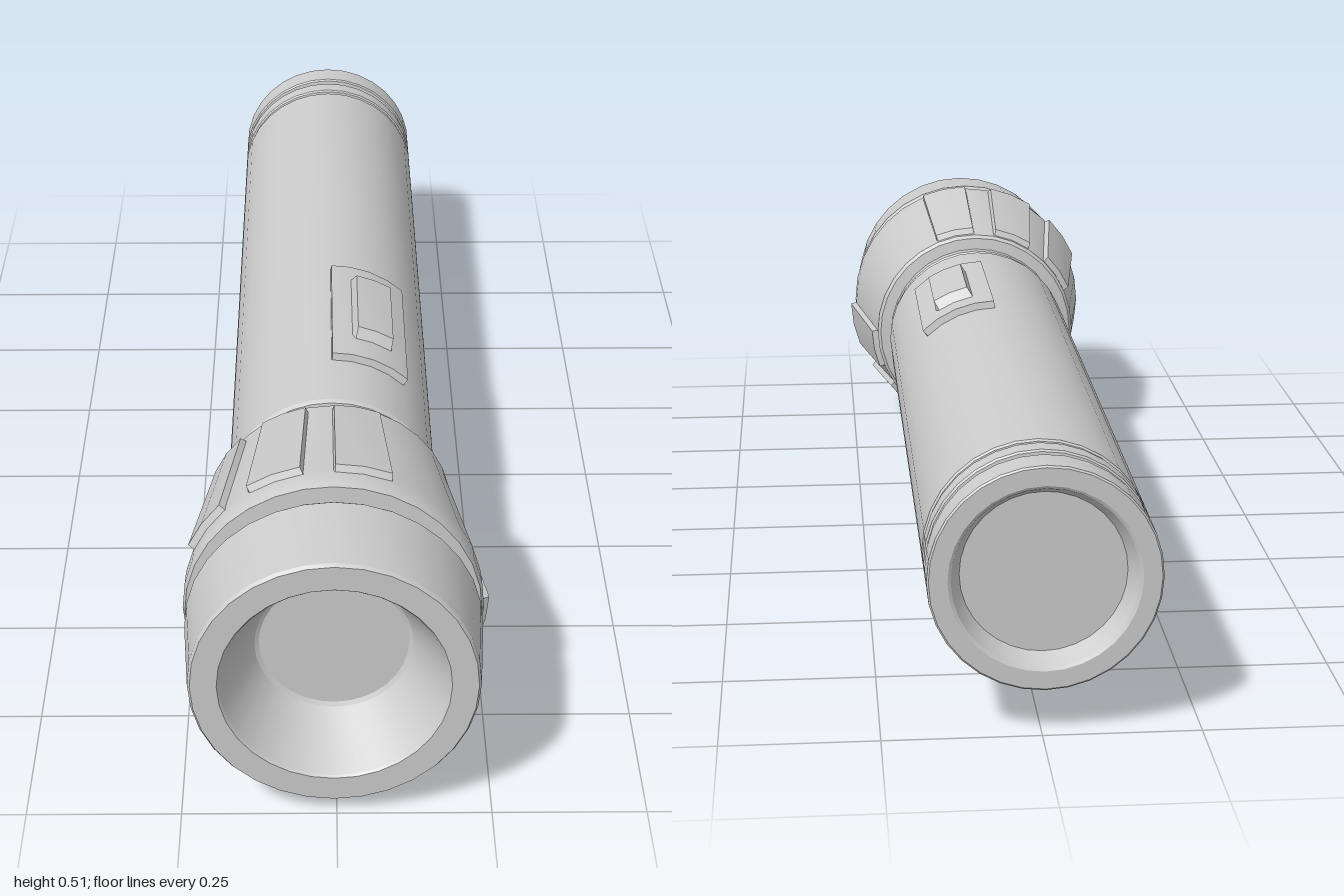
import * as THREE from 'three';
import { toCreasedNormals } from 'three/addons/utils/BufferGeometryUtils.js';

const SEG = 32;
const rad = THREE.MathUtils.degToRad;
const mat = new THREE.MeshStandardMaterial({ color: 0xcccccc });

// Turned part along z; points are [radius, z], ordered from back to front on the outside
function turned(name, points) {
  const geo = new THREE.LatheGeometry(points.map(([r, z]) => new THREE.Vector2(r, z)), SEG);
  geo.rotateX(Math.PI / 2);
  const mesh = new THREE.Mesh(toCreasedNormals(geo, rad(25)), mat);
  mesh.name = name;
  return mesh;
}

// Raised pad wrapped round the barrel between two angles, with bevelled edges.
// base(z) and top(z) give the radius at the foot and on the raised face.
function raisedPad(name, a0, a1, z0, z1, base, top, bevelA, bevelZ) {
  const steps = Math.max(2, Math.round((a1 - a0) / 11.25));
  const cols = [a0, a0 + bevelA];
  for (let i = 1; i < steps; i++) cols.push(a0 + (i * (a1 - a0)) / steps);
  cols.push(a1 - bevelA, a1);
  const rows = [z0, z0 + bevelZ, z1 - bevelZ, z1];
  const pos = [], index = [];
  rows.forEach((z, j) => cols.forEach((a, i) => {
    const edge = j === 0 || j === rows.length - 1 || i === 0 || i === cols.length - 1;
    const r = edge ? base(z) : top(z);
    pos.push(r * Math.cos(rad(a)), r * Math.sin(rad(a)), z);
  }));
  const n = cols.length;
  for (let j = 0; j < rows.length - 1; j++) {
    for (let i = 0; i < n - 1; i++) {
      const p = j * n + i;
      index.push(p, p + 1, p + n, p + 1, p + n + 1, p + n);
    }
  }
  const geo = new THREE.BufferGeometry();
  geo.setAttribute('position', new THREE.Float32BufferAttribute(pos, 3));
  geo.setIndex(index);
  // Corners are listed angle first, so flip them to face outwards
  for (let k = 0; k < index.length; k += 3) {
    const a = new THREE.Vector3().fromArray(pos, index[k] * 3);
    const b = new THREE.Vector3().fromArray(pos, index[k + 1] * 3);
    const c = new THREE.Vector3().fromArray(pos, index[k + 2] * 3);
    const normal = b.clone().sub(a).cross(c.clone().sub(a));
    const out = new THREE.Vector3(a.x + b.x + c.x, a.y + b.y + c.y, 0);
    if (normal.dot(out) < 0) [index[k + 1], index[k + 2]] = [index[k + 2], index[k + 1]];
  }
  geo.setIndex(index);
  const mesh = new THREE.Mesh(toCreasedNormals(geo, rad(25)), mat);
  mesh.name = name;
  return mesh;
}

export function createModel() {
  const model = new THREE.Group();
  model.name = 'flashlight';

  // Tail cap with recessed end and two ring grooves
  model.add(turned('tailCap', [
    [0, -0.965], [0.13, -0.965], [0.145, -0.997], [0.15, -1], [0.179, -1], [0.182, -0.997],
    [0.182, -0.943], [0.179, -0.94], [0.165, -0.938], [0.165, -0.922], [0.179, -0.92],
    [0.182, -0.917], [0.182, -0.883], [0.179, -0.88], [0.165, -0.878], [0.165, -0.865],
  ]));

  // Barrel with neck groove
  model.add(turned('barrel', [
    [0.165, -0.868], [0.179, -0.867], [0.182, -0.863], [0.182, 0.434], [0.178, 0.442],
    [0.157, 0.446], [0.157, 0.463],
  ]));

  // Flared head with collar
  model.add(turned('head', [
    [0.157, 0.46], [0.174, 0.462], [0.178, 0.466], [0.178, 0.486], [0.2, 0.49], [0.206, 0.497],
    [0.206, 0.51], [0.245, 0.755], [0.246, 0.79], [0.242, 0.803], [0.206, 0.806], [0.206, 0.836],
  ]));

  // Bezel ring and reflector bowl
  model.add(turned('bezel', [
    [0.206, 0.834], [0.236, 0.837], [0.241, 0.845], [0.23, 0.994], [0.226, 1], [0.184, 1],
    [0.181, 0.996],
  ]));
  model.add(turned('reflector', [[0.181, 0.996], [0.127, 0.89], [0.12, 0.886], [0, 0.886]]));

  // Grip ribs: two groups of three on the head
  const ribs = new THREE.Group();
  ribs.name = 'gripRibs';
  const cone = z => 0.206 + (z - 0.51) * 0.159;
  for (const start of [67.5, 101.25, 135, -22.5, -56.25, -90]) {
    ribs.add(raisedPad('gripRib', start, start + 22.5, 0.508, 0.765,
      z => cone(z) - 0.001, z => cone(z) + 0.011, 0.8, 0.006));
  }
  model.add(ribs);

  // Switch plate and sliding button
  model.add(raisedPad('switchPlate', 45, 90, -0.035, 0.302, () => 0.18, () => 0.195, 0.6, 0.003));
  model.add(raisedPad('switchButton', 56.25, 78.75, 0.02, 0.238, () => 0.194, () => 0.213, 2, 0.012));

  model.children.forEach(part => part.position.set(-0.004, 0.257, 0));
  return model;
}
